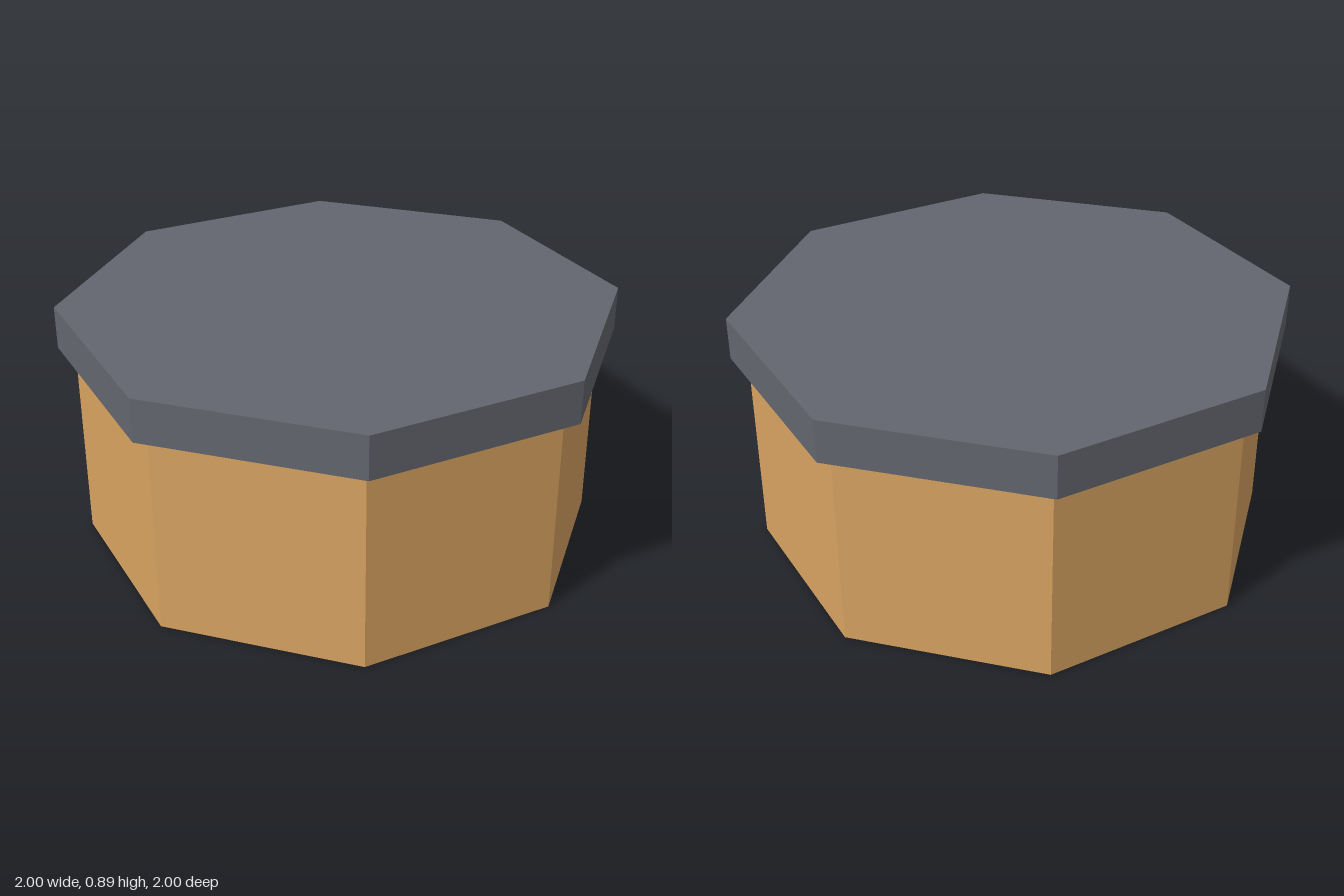
import * as THREE from 'three';

const tan = new THREE.MeshStandardMaterial({ color: 0xd9a361 });
tan.name = 'tan';
const slateGrey = new THREE.MeshStandardMaterial({ color: 0x63666e });
slateGrey.name = 'slate grey';

// Eight-sided prism with flat faces and corners on the x and z axes
function octagon(name, radius, bottom, top, material) {
  const geometry = new THREE.CylinderGeometry(radius, radius, top - bottom, 8).toNonIndexed();
  geometry.computeVertexNormals();
  const mesh = new THREE.Mesh(geometry, material);
  mesh.name = name;
  mesh.position.y = (bottom + top) / 2;
  return mesh;
}

export function createModel() {
  const group = new THREE.Group();
  group.name = 'octagonalBox';
  group.add(
    octagon('body', 0.94, 0, 0.74, tan),
    octagon('lid', 1, 0.74, 0.895, slateGrey), // overhangs the body
  );
  return group;
}
